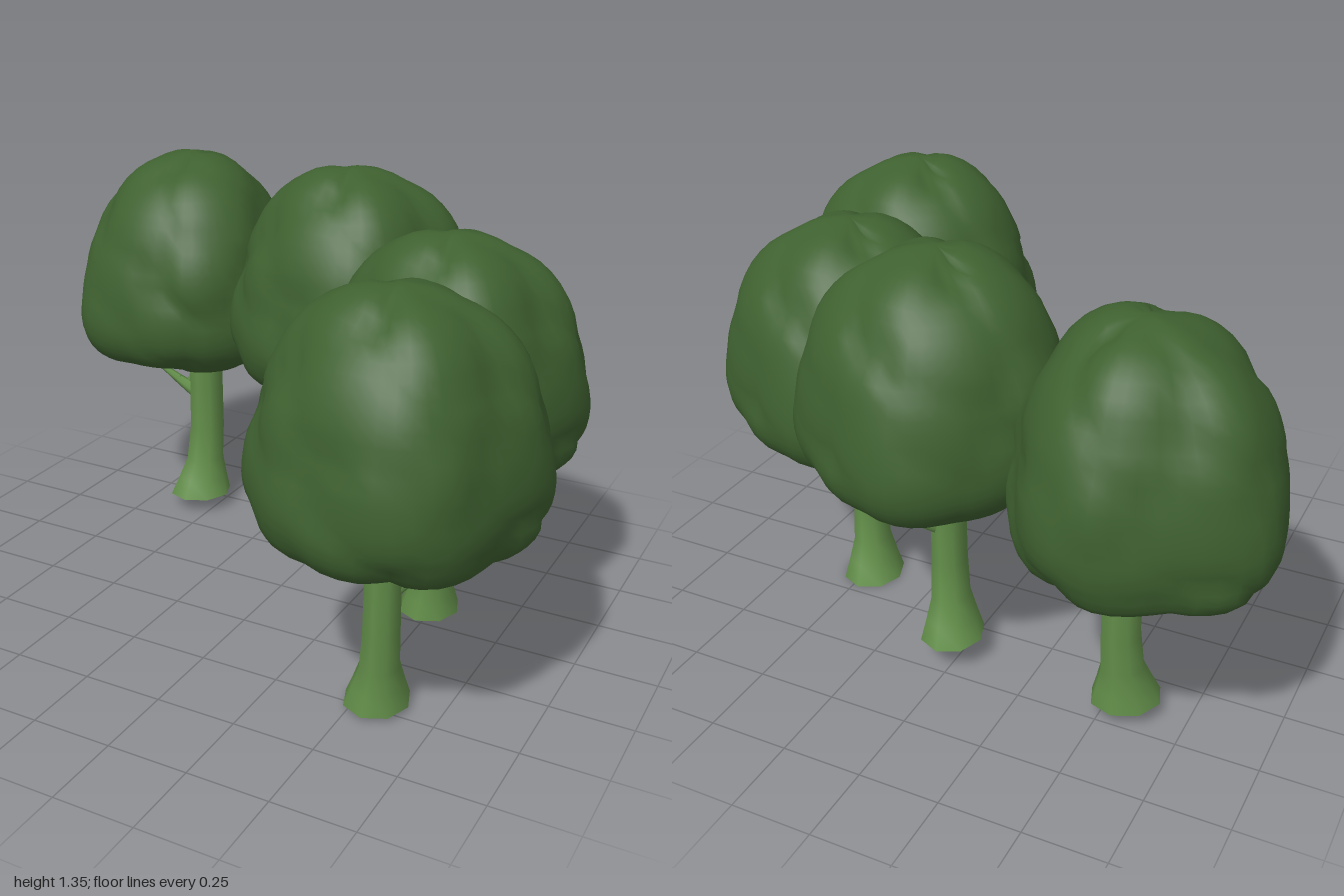
import * as THREE from 'three';
import { mergeVertices } from 'three/addons/utils/BufferGeometryUtils.js';

const leafGreen = new THREE.MeshStandardMaterial({ color: 0x3f6130 });
leafGreen.name = 'leafGreen';
const stemGreen = new THREE.MeshStandardMaterial({ color: 0x628d49, side: THREE.DoubleSide });
stemGreen.name = 'stemGreen';

function seeded(seed) {
  return () => {
    seed = (seed * 16807) % 2147483647;
    return seed / 2147483647;
  };
}

// Widest outline of the crown seen from above: x, z
const OUTLINE = [
  [-0.36, 0], [-0.33, 0.18], [-0.17, 0.34], [0.1, 0.4], [0.3, 0.33], [0.41, 0.1],
  [0.445, -0.13], [0.22, -0.32], [-0.01, -0.38], [-0.2, -0.29], [-0.32, -0.15],
];
// Share of the outline reached at each height, bottom to top: share, y
const PROFILE = [
  [0, 0.55], [0.3, 0.54], [0.6, 0.54], [0.84, 0.565], [0.96, 0.63], [1, 0.71], [0.985, 0.8],
  [0.94, 0.9], [0.86, 1.0], [0.73, 1.1], [0.53, 1.19], [0.28, 1.25], [0, 1.275],
];

// Lumpy dome: a sphere moved onto the outline and profile, then swollen by leaf clumps
function crownGeometry() {
  const outline = new THREE.CatmullRomCurve3(OUTLINE.map(q => new THREE.Vector3(q[0], 0, q[1])), true);
  const profile = new THREE.SplineCurve(PROFILE.map(q => new THREE.Vector2(q[0], q[1])));
  const rand = seeded(4217);
  const clumps = [];
  const count = 44;
  for (let i = 0; i < count; i++) {
    const y = 1 - (2 * (i + 0.5)) / count;
    const a = i * 2.39996 + (rand() - 0.5) * 0.8;
    const r = Math.sqrt(1 - y * y);
    clumps.push({
      dir: new THREE.Vector3(r * Math.cos(a), y + (rand() - 0.5) * 0.2, r * Math.sin(a)).normalize(),
      size: 0.28 + rand() * 0.16,
      height: 0.03 + rand() * 0.05,
    });
  }
  const geo = new THREE.SphereGeometry(1, 48, 32);
  const pos = geo.attributes.position;
  const uv = geo.attributes.uv;
  const axis = new THREE.Vector3(0.045, 0, 0.035);
  const centre = new THREE.Vector3(0.045, 0.8, 0.035);
  const d = new THREE.Vector3();
  for (let i = 0; i < pos.count; i++) {
    const level = profile.getPoint(uv.getY(i));
    const p = outline.getPoint((uv.getX(i) + 1) % 1).sub(axis).multiplyScalar(level.x).add(axis);
    p.y = level.y;
    d.subVectors(p, centre).normalize();
    let swell = 0;
    for (const k of clumps) {
      const q = d.distanceTo(k.dir) / k.size;
      if (q < 1) swell = Math.max(swell, k.height * Math.sqrt(1 - q * q));
    }
    p.sub(centre).multiplyScalar(0.94 + swell).add(centre);
    pos.setXYZ(i, p.x, p.y, p.z);
  }
  geo.deleteAttribute('uv');
  geo.deleteAttribute('normal');
  const merged = mergeVertices(geo, 1e-4);
  merged.computeVertexNormals();
  return merged;
}

// Open eight-sided trunk with a flared foot and a slight lean
function trunkGeometry() {
  const profile = [[0.105, 0], [0.085, 0.06], [0.064, 0.13], [0.059, 0.25], [0.057, 0.42], [0.06, 0.6], [0.05, 0.75]];
  const lathe = new THREE.LatheGeometry(profile.map(q => new THREE.Vector2(q[0], q[1])), 8);
  lathe.deleteAttribute('uv');
  lathe.deleteAttribute('normal');
  const geo = mergeVertices(lathe, 1e-4);
  const pos = geo.attributes.position;
  for (let i = 0; i < pos.count; i++) {
    const lean = Math.min(1, pos.getY(i) / 0.2);
    pos.setX(i, pos.getX(i) * 0.93 + 0.023 * lean);
    pos.setZ(i, pos.getZ(i) * 1.06 - 0.005 + 0.035 * lean);
  }
  geo.computeVertexNormals();
  return geo;
}

// Tapered stick between two points
function stick(name, from, to, r0, r1) {
  const a = new THREE.Vector3(...from);
  const b = new THREE.Vector3(...to);
  const mesh = new THREE.Mesh(new THREE.CylinderGeometry(r1, r0, a.distanceTo(b), 6), stemGreen);
  mesh.name = name;
  mesh.position.copy(a).lerp(b, 0.5);
  mesh.quaternion.setFromUnitVectors(new THREE.Vector3(0, 1, 0), b.sub(a).normalize());
  return mesh;
}

export function createModel() {
  const group = new THREE.Group();
  group.name = 'treeGrove';
  const crownGeo = crownGeometry();
  const trunkGeo = trunkGeometry();

  // Trees: base position, turn, and sideways shift of the crown
  const trees = [
    { at: [-0.56, 0.05, -0.42], turn: Math.PI * 0.75, shift: -0.035 },
    { at: [0.02, 0.085, -0.4], turn: 0, shift: 0 },
    { at: [0.48, 0, -0.11], turn: 0, shift: 0 },
    { at: [0.56, 0.015, 0.47], turn: 0, shift: 0 },
  ];
  trees.forEach((t, i) => {
    const tree = new THREE.Group();
    tree.name = 'tree' + (i + 1);
    tree.position.set(...t.at);

    const stem = new THREE.Group();
    stem.name = 'stem';
    stem.rotation.y = t.turn;
    const trunk = new THREE.Mesh(trunkGeo, stemGreen);
    trunk.name = 'trunk';
    stem.add(trunk);
    stem.add(stick('branch', [0.025, 0.36, 0.025], [0.1, 0.418, -0.06], 0.032, 0.016));
    stem.add(stick('branchTip', [0.095, 0.415, -0.055], [0.145, 0.462, -0.115], 0.017, 0.008));
    stem.add(stick('twig', [0.07, 0.4, -0.025], [0.066, 0.45, -0.015], 0.012, 0.004));
    tree.add(stem);

    const crown = new THREE.Mesh(crownGeo, leafGreen);
    crown.name = 'crown';
    crown.rotation.y = t.turn;
    crown.position.x = t.shift;
    tree.add(crown);
    group.add(tree);
  });
  return group;
}
